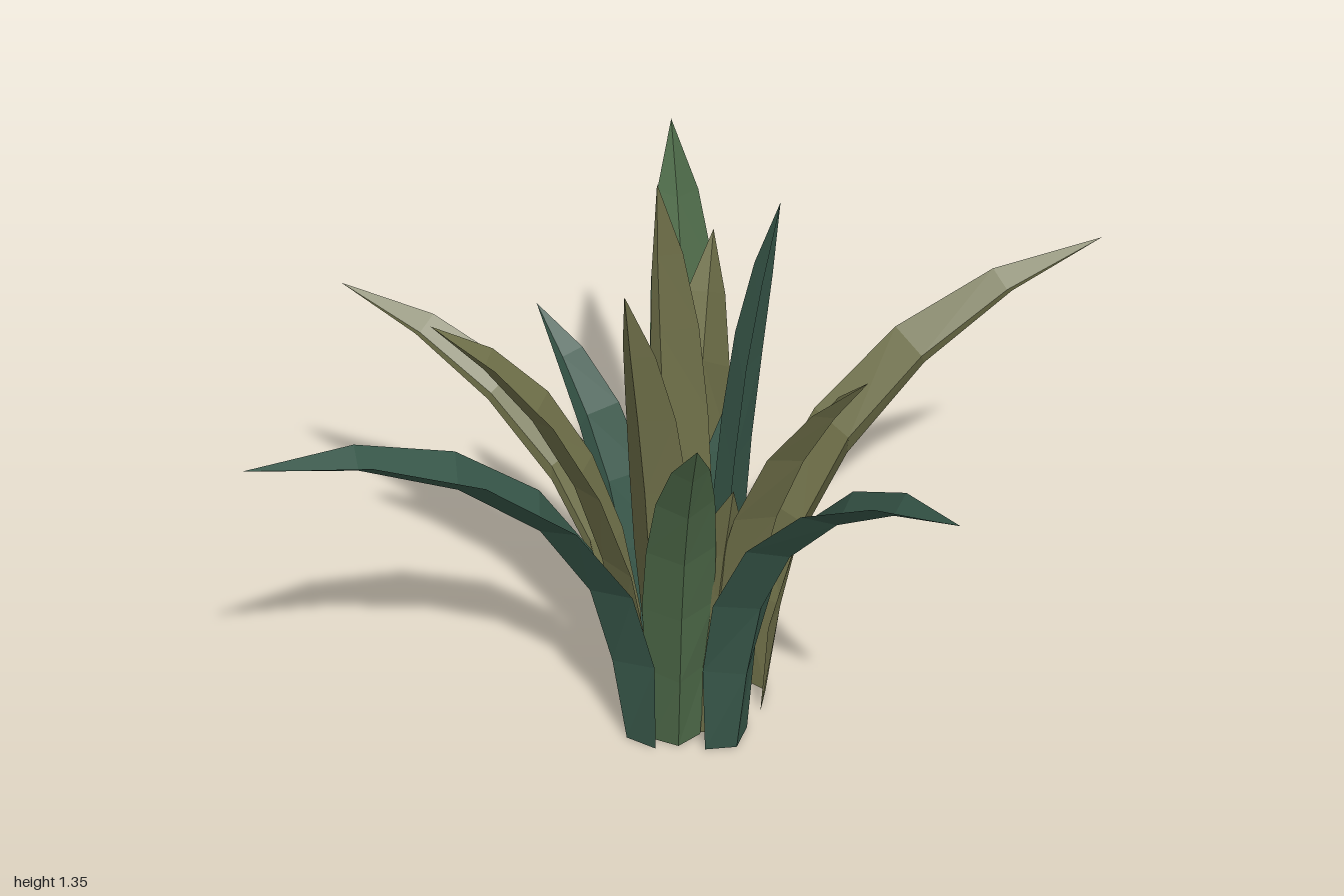
import * as THREE from 'three';

const COLORS = { olive: 0x6f7049, teal: 0x38584a, green: 0x4d6948 };

// Profiles along a leaf, base to tip
const WIDTH = [0.13, 0.16, 0.19, 0.18, 0.15, 0.095, 0];
const KEEL = [0.04, 0.065, 0.06, 0.055, 0.05, 0.033, 0];
// Outward reach and height, as fractions, for arching and upright leaves
const ARCH_OUT = [0, 0.025, 0.09, 0.23, 0.45, 0.71, 1];
const ARCH_UP = [0, 0.235, 0.45, 0.65, 0.82, 0.935, 1];
const STRAIGHT_OUT = [0, 0.05, 0.15, 0.3, 0.5, 0.74, 1];
const STRAIGHT_UP = [0, 0.19, 0.375, 0.55, 0.715, 0.86, 1];

// name, colour, base x, base z, tip x, tip y, tip z, width scale
const LEAVES = [
  ['outerLeafRight', 'teal', -0.13, 0.07, -1.0, 1.05, 0.13, 1],
  ['outerLeafLeft', 'olive', 0.19, 0.05, 0.99, 1.06, 0.09, 1],
  ['outerLeafBack', 'green', 0.1, -0.115, 0.38, 1.0, -0.86, 1],
  ['outerLeafFront', 'teal', 0.06, 0.185, 0.23, 1.03, 0.85, 0.95],
  ['outerLeafBackRight', 'olive', -0.08, -0.08, -0.54, 0.94, -0.6, 0.9],
  ['middleLeafRight', 'olive', -0.09, 0.0, -0.5, 1.1, -0.13, 0.95],
  ['middleLeafBackRight', 'teal', -0.04, -0.07, -0.17, 0.93, -0.36, 0.85],
  ['middleLeafFrontLeft', 'olive', 0.09, 0.12, 0.24, 1.1, 0.43, 0.95],
  ['middleLeafFrontRight', 'green', -0.05, 0.13, -0.12, 1.0, 0.38, 0.85],
  ['middleLeafBackLeft', 'olive', 0.07, -0.07, 0.24, 1.04, -0.32, 0.9],
  ['innerLeafLeft', 'teal', 0.095, 0.06, 0.2, 1.35, 0.09, 0.95],
  ['innerLeafBack', 'olive', 0.03, -0.05, 0.01, 1.33, -0.11, 0.95],
  ['innerLeafRight', 'olive', -0.06, 0.07, -0.17, 1.24, 0.13, 0.9],
  ['shortLeafFront', 'olive', 0.03, 0.12, 0.03, 0.76, 0.24, 0.7],
  ['shortLeafLeft', 'teal', 0.1, -0.03, 0.24, 0.82, -0.1, 0.75],
];

// Folded leaf blade: a V section swept along a curve that leans outwards
function leafGeometry(baseX, baseZ, tipX, tipY, tipZ, scale) {
  const reach = Math.hypot(tipX - baseX, tipZ - baseZ);
  const out = new THREE.Vector3(tipX - baseX, 0, tipZ - baseZ).normalize();
  const side = new THREE.Vector3(out.z, 0, -out.x);
  const arch = Math.min(1, reach / 0.75);
  const mix = THREE.MathUtils.lerp;
  const spine = WIDTH.map((_, i) => new THREE.Vector2(
    reach * mix(STRAIGHT_OUT[i], ARCH_OUT[i], arch),
    tipY * mix(STRAIGHT_UP[i], ARCH_UP[i], arch)));
  const positions = [], index = [];
  spine.forEach((p, i) => {
    const a = spine[Math.max(0, i - 1)], b = spine[Math.min(spine.length - 1, i + 1)];
    const t = b.clone().sub(a).normalize();
    if (i === 0) t.set(0, 1);
    for (const s of [-1, 0, 1]) {
      // Keel sits on the outer side, the two edges on the inner side
      const d = KEEL[i] * scale * (s === 0 ? 0.5 : -0.5);
      const r = p.x + t.y * d;
      const v = new THREE.Vector3(baseX, p.y - t.x * d, baseZ)
        .addScaledVector(out, r).addScaledVector(side, s * WIDTH[i] * scale / 2);
      positions.push(v.x, v.y, v.z);
    }
    if (i === spine.length - 1) return;
    for (let j = 0; j < 2; j++) {
      const k = i * 3 + j;
      index.push(k, k + 1, k + 4);
      if (i < spine.length - 2) index.push(k, k + 4, k + 3);
    }
  });
  const geometry = new THREE.BufferGeometry();
  geometry.setAttribute('position', new THREE.Float32BufferAttribute(positions, 3));
  geometry.setIndex(index);
  geometry.computeVertexNormals();
  return geometry;
}

export function createModel() {
  const group = new THREE.Group();
  group.name = 'spikyPlant';
  const materials = {};
  for (const key in COLORS) {
    materials[key] = new THREE.MeshStandardMaterial({
      color: COLORS[key], flatShading: true, side: THREE.DoubleSide,
    });
  }
  for (const [name, color, ...shape] of LEAVES) {
    const leaf = new THREE.Mesh(leafGeometry(...shape), materials[color]);
    leaf.name = name;
    group.add(leaf);
  }
  return group;
}
